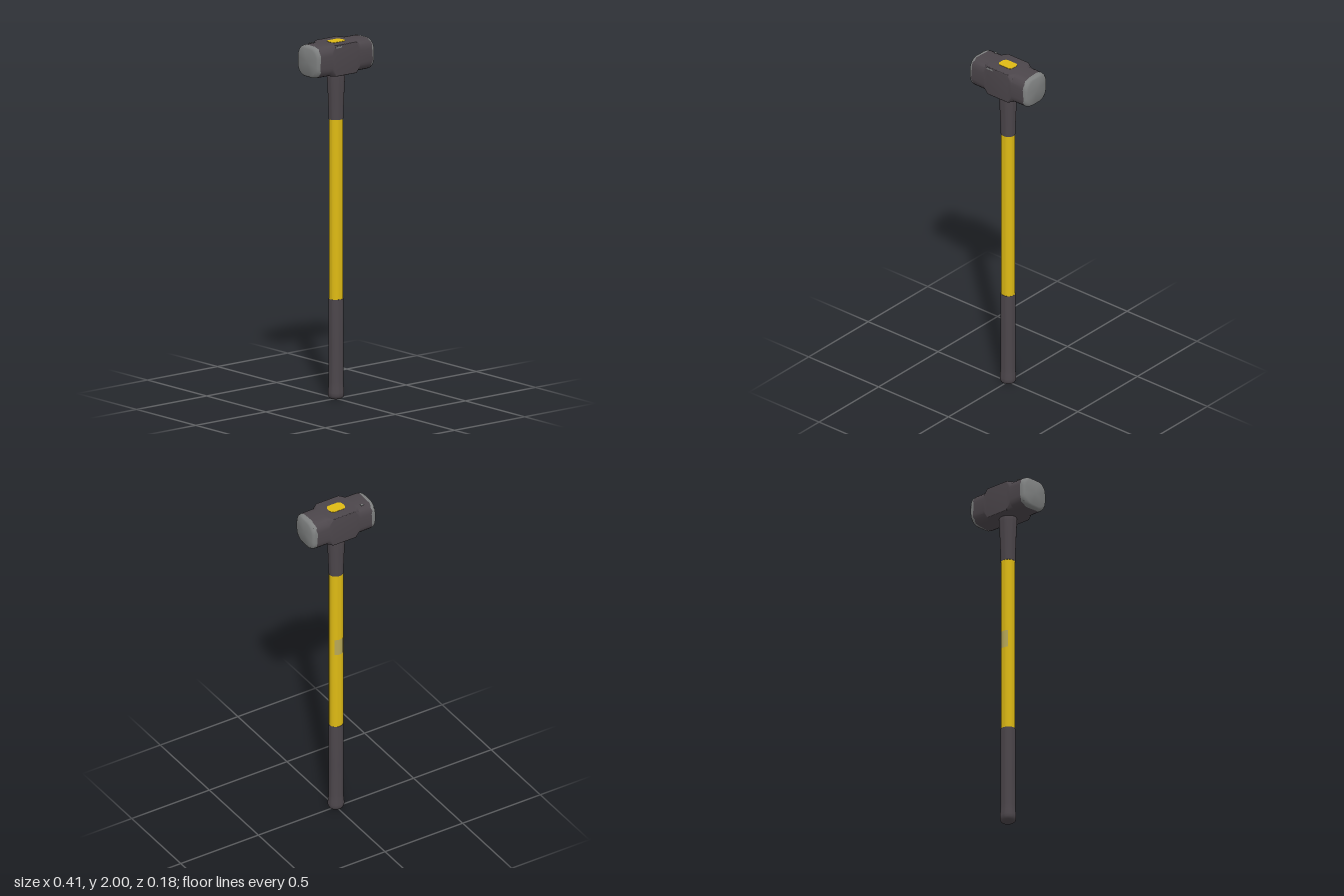
import * as THREE from 'three';
import { toCreasedNormals } from 'three/addons/utils/BufferGeometryUtils.js';

const mat = (name, color) => {
  const m = new THREE.MeshStandardMaterial({ color });
  m.name = name;
  return m;
};

export function createModel() {
  const dark = mat('dark coating', 0x4c464b);
  const yellow = mat('yellow fibreglass', 0xdeba14);
  const steel = mat('worn steel', 0x7e8080);
  const pale = mat('pale label', 0xb8a858);

  const group = new THREE.Group();
  const add = (name, geometry, material) => {
    const mesh = new THREE.Mesh(geometry, material);
    mesh.name = name;
    group.add(mesh);
    return mesh;
  };

  // Handle: oval turned sections, each point is [radius, height]
  const turned = (points, depth) => {
    const lathe = new THREE.LatheGeometry(points.map(([r, y]) => new THREE.Vector2(r, y)), 32);
    return toCreasedNormals(lathe.scale(1, 1, depth), 0.7);
  };
  add('grip', turned([[0, 0], [0.03, 0.002], [0.04, 0.008], [0.046, 0.022], [0.046, 0.038],
    [0.043, 0.065], [0.041, 0.1], [0.0415, 0.3], [0.042, 0.53], [0.041, 0.56], [0.03, 0.561]], 0.95), dark);
  add('shaft', turned([[0.0405, 0.55], [0.0405, 1.58]], 0.92), yellow);
  add('neckSleeve', turned([[0.035, 1.564], [0.0415, 1.565], [0.043, 1.62], [0.047, 1.72],
    [0.051, 1.8], [0.051, 1.818], [0.046, 1.84]], 0.92), dark);

  // Label wrapped on the back of the shaft
  const label = new THREE.CylinderGeometry(0.0412, 0.0412, 0.1, 12, 1, true, Math.PI - 0.75, 1.5);
  add('shaftLabel', label.scale(1, 1, 0.92).translate(0, 1.09, 0), pale).material.side = THREE.DoubleSide;

  // Head: square waist, rounded octagonal ends, built from rings along x
  const CY = 1.9125, SEG = 5;
  const ring = (x, hy, hz, r, wear = 0) => {
    const pts = [];
    for (let k = 0; k < 4; k++) {
      const sy = k === 0 || k === 3 ? 1 : -1, sz = k < 2 ? 1 : -1;
      for (let s = 0; s <= SEG; s++) {
        const a = (k + s / SEG) * Math.PI / 2;
        const edge = Math.sign(x) * wear * (Math.sin(pts.length * 2.4) + Math.sin(a));
        pts.push(new THREE.Vector3(x + edge, CY + sy * (hy - r) + r * Math.cos(a),
          sz * (hz - r) + r * Math.sin(a)));
      }
    }
    return pts;
  };
  // [x, half height, half depth, corner radius, raggedness of the wear line]
  const half = [[0.072, 0.0875, 0.09, 0.005], [0.1, 0.0875, 0.09, 0.053], [0.18, 0.0875, 0.09, 0.055, 0.004],
    [0.192, 0.0865, 0.089, 0.057], [0.201, 0.081, 0.083, 0.056], [0.206, 0.072, 0.074, 0.052]];
  const rings = [...half.map(([x, ...rest]) => [-x, ...rest]).reverse(), ...half].map(p => ring(...p));

  const positions = [];
  const tri = (...corners) => corners.forEach(p => positions.push(p.x, p.y, p.z));
  const n = rings[0].length, last = rings.length - 1;
  const wall = (from, to) => {
    for (let i = from; i < to; i++) for (let j = 0; j < n; j++) {
      const k = (j + 1) % n, a = rings[i], b = rings[i + 1];
      tri(a[j], a[k], b[k]);
      tri(a[j], b[k], b[j]);
    }
  };
  const cap = (r, outward) => {
    const c = new THREE.Vector3(r[0].x, CY, 0);
    for (let j = 0; j < n; j++) {
      const p = r[j], q = r[(j + 1) % n];
      outward > 0 ? tri(c, p, q) : tri(c, q, p);
    }
  };
  const headGeo = new THREE.BufferGeometry();
  const section = (index, build) => {
    const start = positions.length / 3;
    build();
    headGeo.addGroup(start, positions.length / 3 - start, index);
  };
  section(0, () => wall(3, last - 3));
  section(1, () => {
    wall(0, 3);
    wall(last - 3, last);
    cap(rings[0], -1);
    cap(rings[last], 1);
  });
  headGeo.setAttribute('position', new THREE.Float32BufferAttribute(positions, 3));
  add('hammerHead', toCreasedNormals(headGeo, 0.55), [dark, steel]);

  // End of the shaft showing in the eye on top of the head
  const w = 0.049, d = 0.034, c = 0.024;
  const eye = new THREE.Shape();
  eye.moveTo(-w + c, -d);
  eye.lineTo(w - c, -d);
  eye.quadraticCurveTo(w, -d, w, 0);
  eye.quadraticCurveTo(w, d, w - c, d);
  eye.lineTo(-w + c, d);
  eye.quadraticCurveTo(-w, d, -w, 0);
  eye.quadraticCurveTo(-w, -d, -w + c, -d);
  const eyeGeo = new THREE.ExtrudeGeometry(eye, { depth: 0.004, bevelEnabled: false });
  add('shaftEnd', eyeGeo.rotateX(-Math.PI / 2).translate(0, 1.9975, 0), yellow);

  // Small chips in the coating
  const chip = (sx, sy, sz, x, y, z) =>
    add('coatingChip', new THREE.BoxGeometry(sx, sy, sz).translate(x, y, z), steel);
  chip(0.016, 0.002, 0.012, -0.133, 2, -0.054);
  chip(0.045, 0.009, 0.002, -0.055, 1.988, 0.09);

  return group;
}
